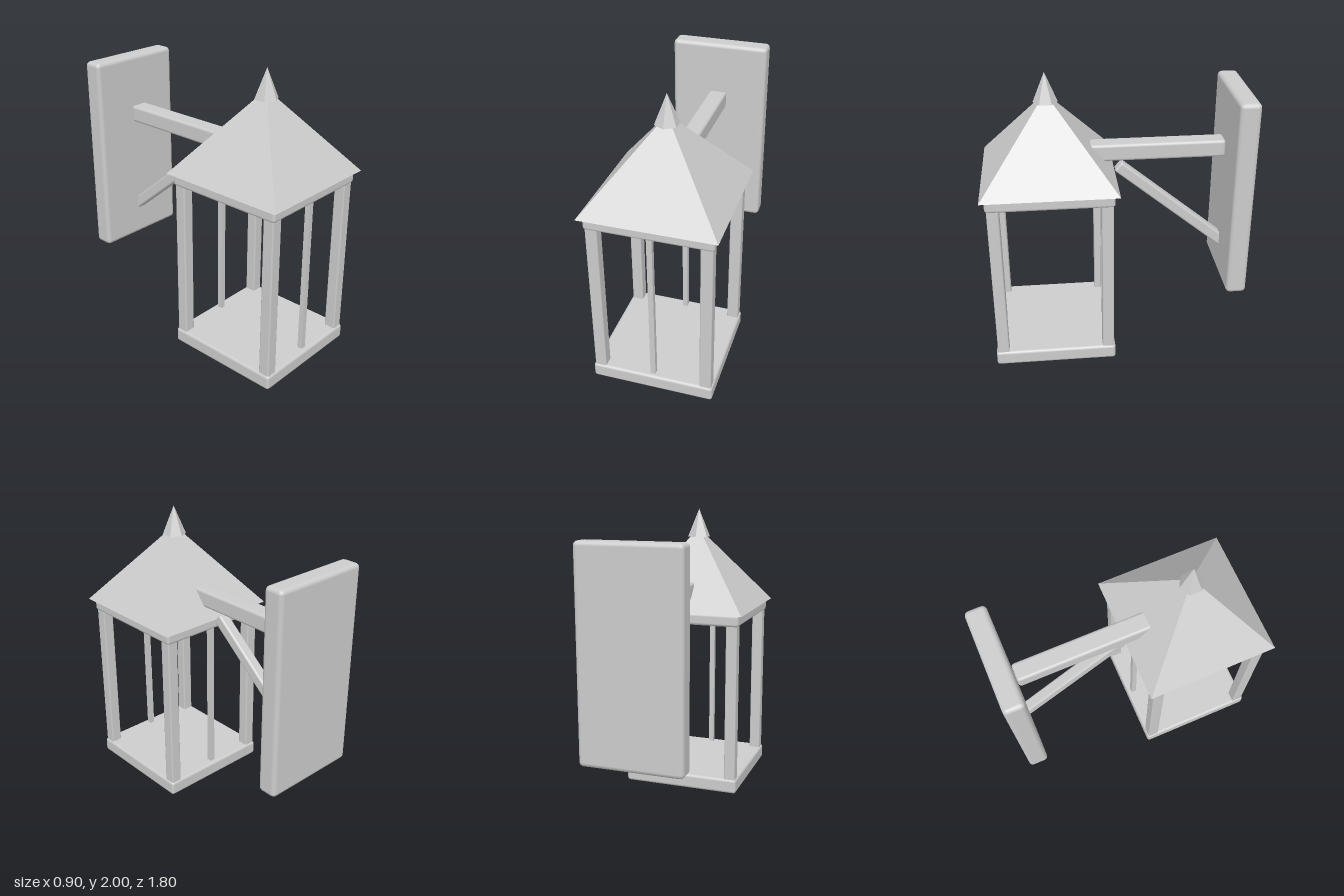
import * as THREE from 'three';
import { RoundedBoxGeometry } from 'three/addons/geometries/RoundedBoxGeometry.js';

export function createModel() {
  const model = new THREE.Group();
  model.name = 'wallLantern';
  const grey = new THREE.MeshStandardMaterial({ color: 0xcccccc });
  grey.name = 'lightGrey';

  const add = (name, geometry, x, y, z, parent = model) => {
    const mesh = new THREE.Mesh(geometry, grey);
    mesh.name = name;
    mesh.position.set(x, y, z);
    parent.add(mesh);
    return mesh;
  };
  const beam = (w, h, d, r) => new RoundedBoxGeometry(w, h, d, 2, r);
  // Faceted cone with crisp edges
  const spike = (radius, height, sides, turn = 0) => {
    const g = new THREE.ConeGeometry(radius, height, sides).rotateY(turn).toNonIndexed();
    g.computeVertexNormals();
    return g;
  };

  // Wall mount: plate, horizontal arm and diagonal brace
  add('wallPlate', beam(0.7, 1.41, 0.14, 0.03), 0, 1.155, -0.83);
  add('arm', beam(0.13, 0.12, 1.0, 0.02), 0, 1.44, -0.255);
  const brace = add('brace', beam(0.08, 0.08, 1.0, 0.015), 0, 1.005, -0.41);
  brace.rotation.x = -0.693;

  // Lantern body, centred below the roof
  const lantern = new THREE.Group();
  lantern.name = 'lantern';
  lantern.position.z = 0.45;
  model.add(lantern);
  add('basePlate', beam(0.84, 0.105, 0.84, 0.02), 0, 0.0525, 0, lantern);
  add('topPlate', beam(0.84, 0.085, 0.84, 0.02), 0, 1.2595, 0, lantern);

  // Corner posts, with one thin bar in the middle of the front and back
  for (const sz of [1, -1]) {
    for (const sx of [1, -1]) {
      add('cornerPost', beam(0.08, 1.16, 0.08, 0.01), sx * 0.37, 0.66, sz * 0.37, lantern);
    }
    add('thinBar', new THREE.BoxGeometry(0.036, 1.16, 0.036), 0, 0.66, sz * 0.37, lantern);
  }

  // Pyramid roof and six-sided finial
  add('roof', spike(0.45 * Math.SQRT2, 0.56, 4, Math.PI / 4), 0, 1.58, 0, lantern);
  add('finial', spike(0.082, 0.2, 6), 0, 1.9, 0, lantern);

  return model;
}
